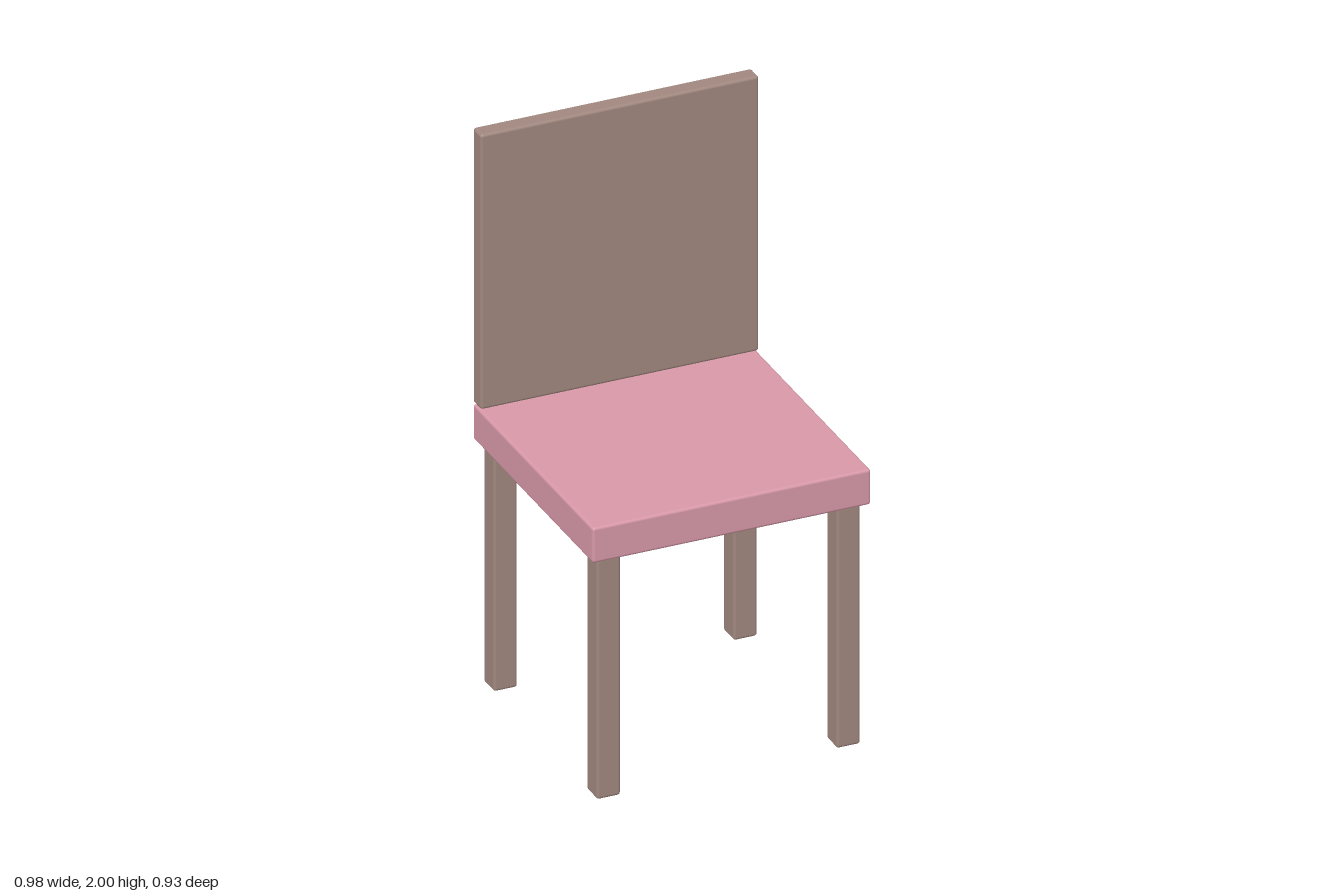
import * as THREE from 'three';
import { RoundedBoxGeometry } from 'three/addons/geometries/RoundedBoxGeometry.js';

const wood = new THREE.MeshStandardMaterial({ color: 0xa1887f });
const cushion = new THREE.MeshStandardMaterial({ color: 0xd898a8 });

// Softly bevelled block, placed by its bottom height and its centre in x and z
function block(name, material, [w, h, d], [x, bottom, z]) {
  const mesh = new THREE.Mesh(new RoundedBoxGeometry(w, h, d, 2, 0.01), material);
  mesh.name = name;
  mesh.position.set(x, bottom + h / 2, z);
  return mesh;
}

export function createModel() {
  const chair = new THREE.Group();
  chair.name = 'chair';

  // Seat and upright back panel
  chair.add(block('seat', cushion, [0.975, 0.128, 0.93], [0, 0.872, 0]));
  chair.add(block('backrest', wood, [0.975, 0.995, 0.062], [0, 1.005, -0.434]));

  // Four square legs
  for (const [side, x] of [['Left', 0.42], ['Right', -0.42]]) {
    for (const [end, z] of [['front', 0.4], ['back', -0.4]]) {
      chair.add(block(`${end}${side}Leg`, wood, [0.083, 0.87, 0.083], [x, 0, z]));
    }
  }
  return chair;
}
